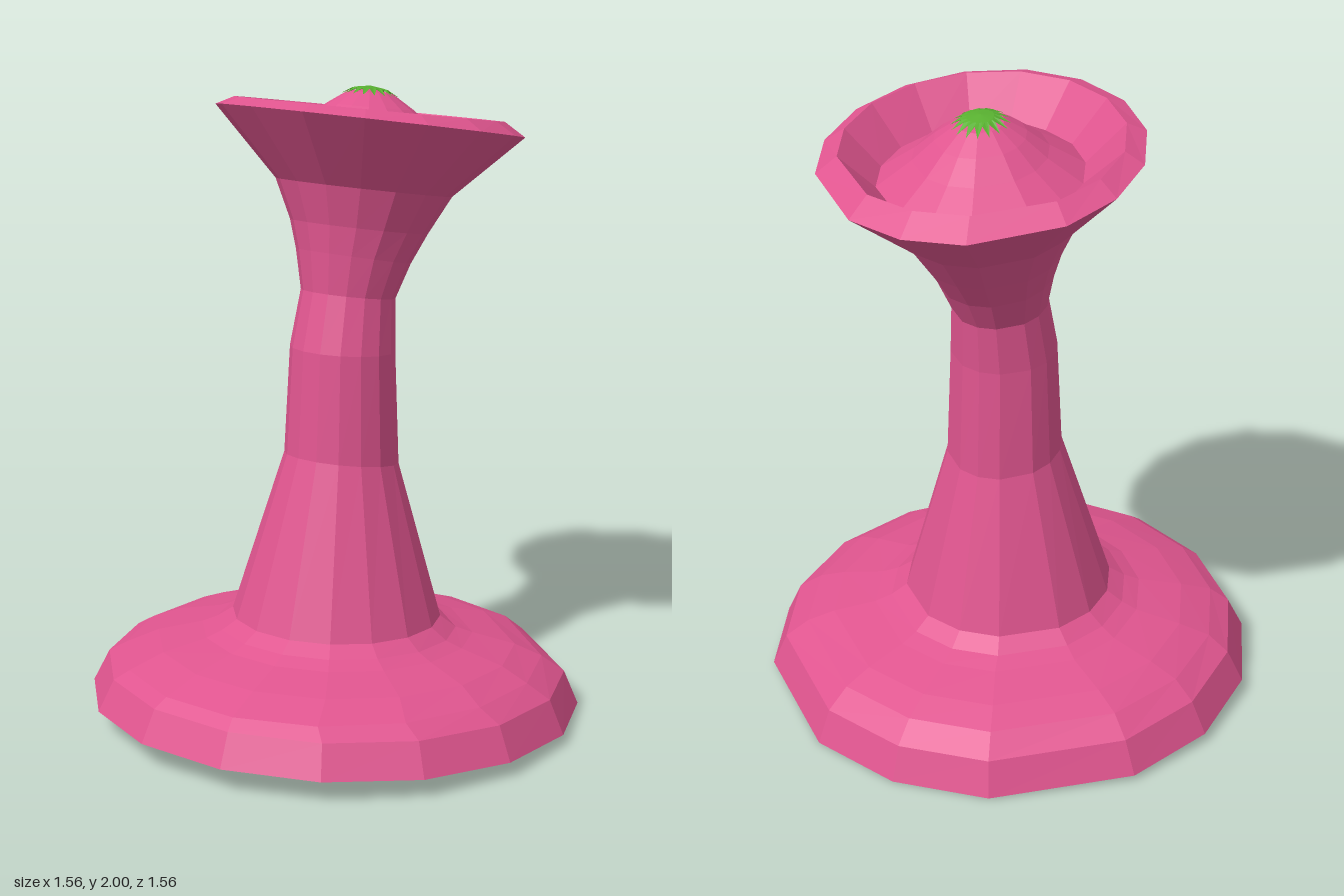
import * as THREE from 'three';

// Fifteen sides, with one corner facing +x
const half = [22.6, 56.5, 78.75, 101.25, 123.75, 146.25, 168.75];
const ANGLES = [0, ...half, ...half.map(a => 360 - a).reverse()].map(a => a * Math.PI / 180);

// Ring given by its left and right ends in the xy plane, z radius and z centre
const ring = (xl, yl, xr, yr, rz, cz = 0) => ANGLES.map(a => {
  const c = Math.cos(a);
  const left = Math.cos(Math.PI * 168.75 / 180);
  const t = (c - left) / (1 - left);
  return [xl + (xr - xl) * t, yl + (yr - yl) * t, cz - rz * Math.sin(a) / Math.sin(Math.PI * 78.75 / 180)];
});

// Skin a series of rings, listed so that outward is right of the travel direction
function loft(rings, capStart, capEnd) {
  const n = rings[0].length, idx = [], pos = rings.flat();
  for (let r = 0; r < rings.length - 1; r++) {
    for (let i = 0; i < n; i++) {
      const a = r * n + i, b = r * n + (i + 1) % n;
      idx.push(a, b, b + n, a, b + n, a + n);
    }
  }
  const centre = ps => [0, 1, 2].map(k => ps.reduce((s, p) => s + p[k], 0) / n);
  const cap = (r, flip, apex) => {
    const c = pos.length;
    pos.push(apex || centre(rings[r]));
    for (let i = 0; i < n; i++) {
      const a = r * n + i, b = r * n + (i + 1) % n;
      idx.push(...(flip ? [b, a, c] : [a, b, c]));
    }
  };
  if (capStart) cap(0, true);
  if (capEnd) cap(rings.length - 1, false, capEnd);
  const g = new THREE.BufferGeometry();
  g.setAttribute('position', new THREE.Float32BufferAttribute(pos.flat(), 3));
  g.setIndex(idx);
  const flat = g.toNonIndexed();
  flat.computeVertexNormals();
  return flat;
}

export function createModel() {
  const group = new THREE.Group();
  const pink = new THREE.MeshStandardMaterial({ color: 0xe0558f, flatShading: true, side: THREE.DoubleSide });
  const green = new THREE.MeshStandardMaterial({ color: 0x58b030, flatShading: true, side: THREE.DoubleSide });
  const add = (name, geometry, material) => {
    const m = new THREE.Mesh(geometry, material);
    m.name = name;
    group.add(m);
  };

  // Wide tilted foot
  const collar = ring(-0.33, 0.33, 0.34, 0.3, 0.33);
  add('base', loft([
    ring(-0.78, 0.08, 0.78, 0.0, 0.78),
    ring(-0.73, 0.18, 0.74, 0.11, 0.73),
    ring(-0.69, 0.21, 0.67, 0.17, 0.66),
    ring(-0.57, 0.25, 0.58, 0.205, 0.57),
    ring(-0.43, 0.28, 0.45, 0.24, 0.43),
    ring(-0.38, 0.3, 0.39, 0.26, 0.38),
    collar,
  ], true), pink);

  // Bent stem flaring into the cup
  const rim = ring(-0.28, 1.975, 0.67, 1.8, 0.48, -0.01);
  add('stem', loft([
    collar,
    ring(-0.15, 0.86, 0.21, 0.8, 0.18),
    ring(-0.12, 1.2, 0.205, 1.17, 0.165, -0.005),
    ring(-0.07, 1.38, 0.22, 1.33, 0.148, -0.008),
    ring(-0.07, 1.51, 0.28, 1.43, 0.18, -0.01),
    ring(-0.075, 1.6, 0.35, 1.52, 0.215, -0.012),
    ring(-0.105, 1.73, 0.44, 1.63, 0.275, -0.015),
    rim,
  ]), pink);

  // Rim, inner wall and domed middle of the cup
  const disc = (r, y) => ring(0.18 - r, y + r * 0.15, 0.18 + r, y - r * 0.15, r);
  add('cup', loft([
    rim,
    ring(-0.22, 1.99, 0.6, 1.86, 0.42, -0.01),
    disc(0.305, 1.81),
    disc(0.2, 1.88),
    disc(0.135, 1.934),
    disc(0.07, 1.978),
  ], false, [0.177, 1.992, 0]), pink);

  // Spiky star draped over the dome's tip
  const points = 16;
  const star = (rIn, rOut, yIn, yOut) => Array.from({ length: points * 2 }, (_, i) => {
    const a = i * Math.PI / points, spike = i % 2 === 0;
    const r = spike ? rOut : rIn;
    const x = r * Math.cos(a);
    return [0.177 + x, (spike ? yOut : yIn) - x * 0.15, -r * Math.sin(a)];
  });
  add('star', loft([
    star(0.056, 0.09, 1.99, 1.97),
    star(0.04, 0.04, 1.994, 1.994),
  ], false, [0.177, 2, 0]), green);

  return group;
}
